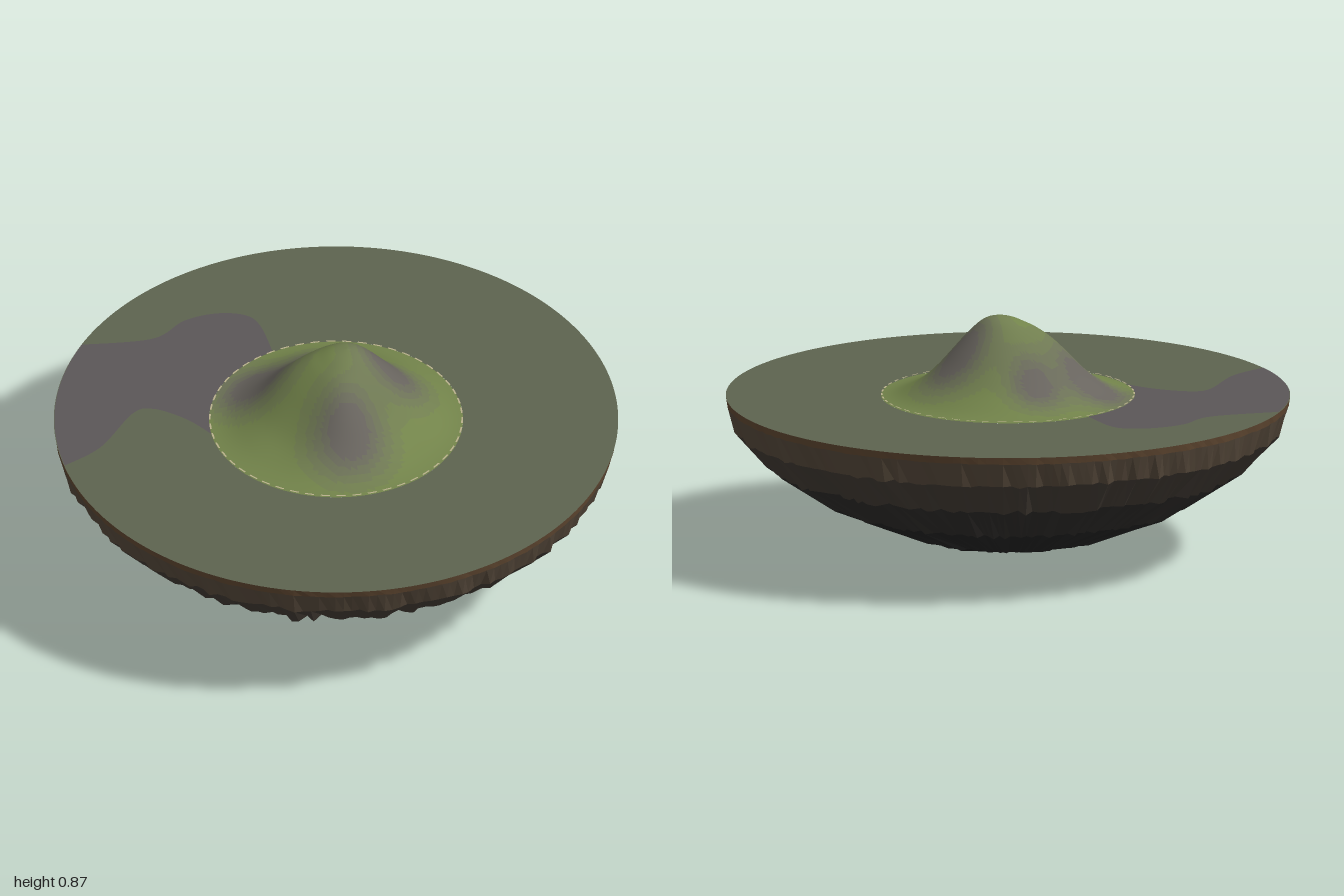
import * as THREE from 'three';

const TOP = 0.57, HILL_R = 0.45, SEG = 210;

function seeded(seed) {
  return () => {
    seed = (seed * 16807) % 2147483647;
    return seed / 2147483647;
  };
}

function material(color, extra = {}) {
  return new THREE.MeshStandardMaterial({ color, roughness: 0.95, ...extra });
}

function addMesh(group, name, geometry, mat) {
  const mesh = new THREE.Mesh(geometry, mat);
  mesh.name = name;
  group.add(mesh);
  return mesh;
}

// Closed loops of points joined into a skin, ordered inside to outside / top to bottom
function skin(rows) {
  const n = rows[0].length, index = [];
  for (let j = 0; j < rows.length - 1; j++) {
    for (let i = 0; i < n; i++) {
      const a = j * n + i, b = j * n + (i + 1) % n;
      index.push(a, b, a + n, b, b + n, a + n);
    }
  }
  const geometry = new THREE.BufferGeometry().setFromPoints(rows.flat());
  geometry.setIndex(index);
  geometry.computeVertexNormals();
  return geometry;
}

// Jagged rock bowl, in bands that darken towards the tip
function rockUnderside() {
  const group = new THREE.Group();
  group.name = 'rockUnderside';
  const rand = seeded(4711);
  const ridge = Array.from({ length: SEG }, () => rand());
  // radius, height, radial roughness, vertical roughness
  const rings = [
    [1, TOP, 0, 0], [0.998, 0.545, 0.004, 0.004], [0.98, 0.455, 0.03, 0.012], [0.875, 0.335, 0.055, 0.015],
    [0.665, 0.2, 0.08, 0.012], [0.375, 0.08, 0.13, 0.008], [0.004, 0, 0, 0],
  ];
  const rows = rings.map(([r, y, rough, lift]) => ridge.map((k, i) => {
    const a = (i / SEG) * Math.PI * 2;
    const rr = r * (1 - rough * (0.6 * k + 0.4 * rand()));
    return new THREE.Vector3(rr * Math.cos(a), y + lift * (rand() - 0.5), rr * Math.sin(a));
  }));
  const colors = [0x5e4630, 0x55483a, 0x423b34, 0x2e2c2a, 0x232323, 0x1c1c1c];
  colors.forEach((color, j) => {
    addMesh(group, `rockBand${j + 1}`, skin([rows[j], rows[j + 1]]), material(color, { flatShading: true }));
  });
  return group;
}

// Flat ground around the hill, with a bare stone patch
function ground() {
  const group = new THREE.Group();
  group.name = 'ground';
  const disc = new THREE.RingGeometry(HILL_R, 1, SEG, 1).rotateX(-Math.PI / 2);
  addMesh(group, 'grassDisc', disc, material(0x5d634f)).position.y = TOP;

  const v = (x, y) => new THREE.Vector2(x, y);
  const patch = new THREE.Shape();
  patch.absarc(0, 0, 0.998, 2.506, Math.PI + 0.08, false);
  patch.splineThru([v(-0.85, 0), v(-0.7, 0.17), v(-0.62, 0.18), v(-0.52, 0.1), v(-HILL_R, 0)]);
  patch.absarc(0, 0, HILL_R, Math.PI, 1.9, true);
  patch.splineThru([v(-0.16, 0.58), v(-0.2, 0.65), v(-0.3, 0.68), v(-0.42, 0.66), v(-0.55, 0.58), v(-0.802, 0.594)]);
  const stone = new THREE.ShapeGeometry(patch, 40).rotateX(-Math.PI / 2);
  addMesh(group, 'stonePatch', stone, material(0x5b5758)).position.y = TOP + 0.002;
  return group;
}

// Lopsided hill: rays run from an off-centre peak to a round foot
function hill() {
  const group = new THREE.Group();
  group.name = 'hill';
  const px = 0.045, pz = -0.02, rowsN = 32, n = 96;
  const heights = [0.297, 0.281, 0.237, 0.182, 0.125, 0.076, 0.04, 0.013, 0];
  const profile = new THREE.SplineCurve(heights.map((h, i) => new THREE.Vector2(i / 8, h)));
  const bump = (x, z, cx, cz, w) => Math.exp(-((x - cx) ** 2 + (z - cz) ** 2) / (w * w));

  const rows = [];
  for (let j = 0; j <= rowsN; j++) {
    const t = j / rowsN, h = profile.getPoint(t).y;
    const fade = Math.min(1, t * 4) * (1 - t ** 4);
    rows.push(Array.from({ length: n }, (_, i) => {
      const a = (i / n) * Math.PI * 2;
      const x = px + t * (HILL_R * Math.cos(a) - px), z = pz + t * (HILL_R * Math.sin(a) - pz);
      const lumps = 0.038 * bump(x, z, -0.17, -0.06, 0.12) + 0.04 * bump(x, z, -0.01, 0.19, 0.11)
        - 0.02 * bump(x, z, 0.2, 0.2, 0.12) - 0.015 * bump(x, z, -0.22, 0.2, 0.12);
      return new THREE.Vector3(x, TOP + h + fade * lumps, z);
    }));
  }
  const whole = skin(rows);

  // Steep faces are stone, the rest grass, with two tones between
  const stoneAt = (x, z) => 1.2 * bump(x, z, -0.25, -0.18, 0.15) + bump(x, z, 0, -0.27, 0.1)
    + 1.1 * bump(x, z, 0.2, -0.04, 0.13) + 1.1 * bump(x, z, 0, 0.24, 0.14);
  const grass = new THREE.Color(0x72834a), stone = new THREE.Color(0x68645e);
  const tones = 6, faces = Array.from({ length: tones }, () => []);
  const pos = whole.attributes.position, idx = whole.index.array;
  for (let k = 0; k < idx.length; k += 3) {
    const tri = [idx[k], idx[k + 1], idx[k + 2]];
    const x = tri.reduce((s, p) => s + pos.getX(p), 0) / 3;
    const z = tri.reduce((s, p) => s + pos.getZ(p), 0) / 3;
    const tone = Math.min(tones - 1, Math.floor(stoneAt(x, z) * tones));
    faces[tone].push(...tri);
  }
  faces.forEach((list, k) => {
    const part = new THREE.BufferGeometry();
    part.setAttribute('position', pos);
    part.setAttribute('normal', whole.attributes.normal);
    part.setIndex(list);
    addMesh(group, `hillTone${k + 1}`, part, material(grass.clone().lerp(stone, k / (tones - 1))));
  });
  return group;
}

// Dashed boundary line round the foot of the hill
function dashedRing() {
  const group = new THREE.Group();
  group.name = 'dashedRing';
  const count = 50, step = (Math.PI * 2) / count;
  const mat = material(0xb9b08c, { side: THREE.DoubleSide });
  for (let i = 0; i < count; i++) {
    const dash = new THREE.RingGeometry(0.444, 0.45, 4, 1, i * step, step * 0.58).rotateX(-Math.PI / 2);
    addMesh(group, 'dash', dash, mat).position.y = TOP + 0.005;
  }
  return group;
}

export function createModel() {
  const model = new THREE.Group();
  model.name = 'floatingIsland';
  model.add(rockUnderside(), ground(), hill(), dashedRing());
  return model;
}
